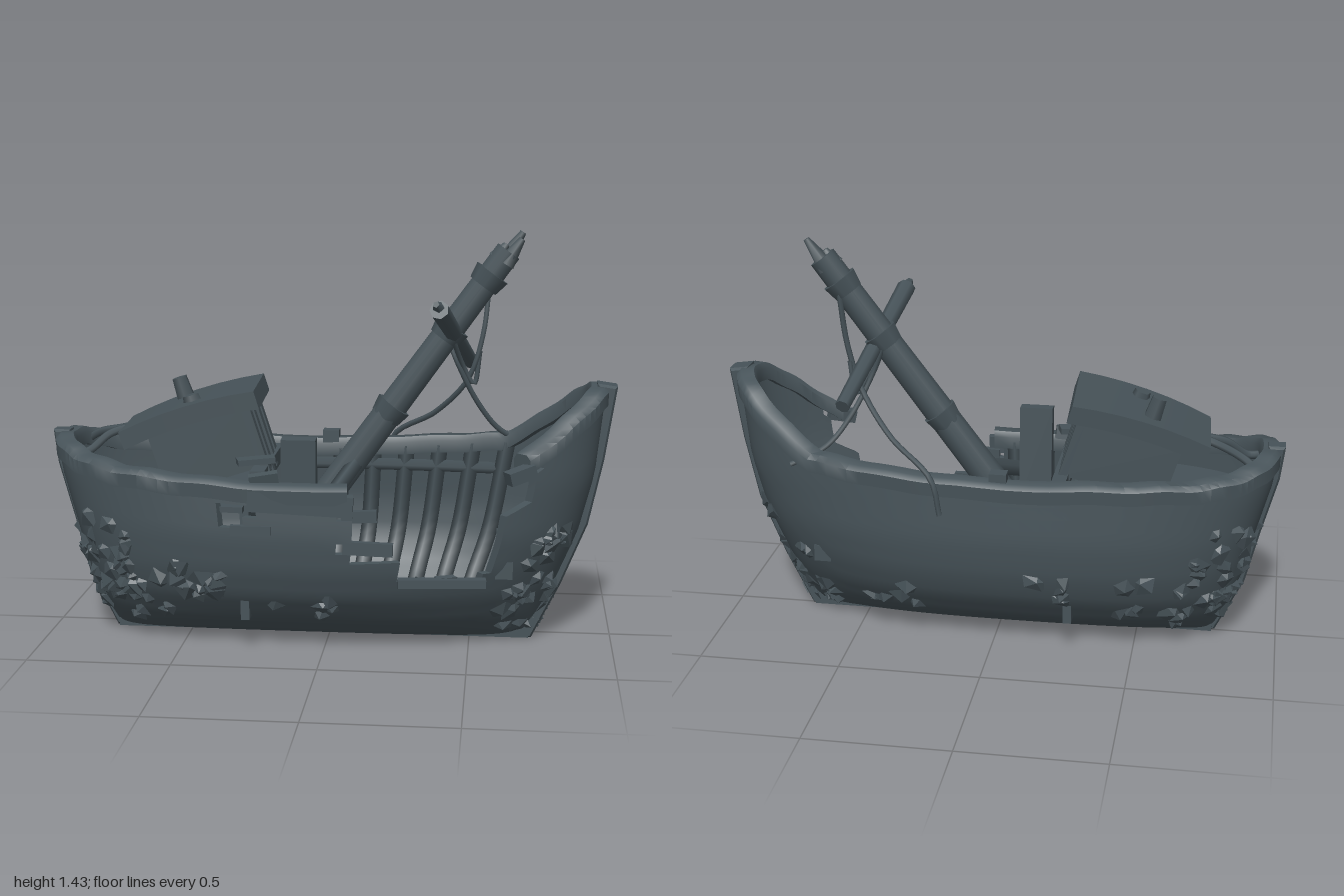
import * as THREE from 'three';
import { toCreasedNormals } from 'three/addons/utils/BufferGeometryUtils.js';

const V = (x, y, z) => new THREE.Vector3(x, y, z);
const CZ = 0.03; // hull centre line

// Linear lookup in a list of [key, value] pairs
function lookup(t, k) {
  if (k <= t[0][0]) return t[0][1];
  for (let i = 1; i < t.length; i++) {
    if (k <= t[i][0]) return THREE.MathUtils.mapLinear(k, t[i - 1][0], t[i][0], t[i - 1][1], t[i][1]);
  }
  return t[t.length - 1][1];
}
const BOW = [[0, 0.71], [0.2, 0.8], [0.4, 0.88], [0.6, 0.93], [0.92, 0.965]];
const STERN = [[0, -0.77], [0.2, -0.86], [0.4, -0.91], [0.6, -0.965], [0.75, -0.98]];
const WIDTH = [[0, 0.05], [0.02, 0.11], [0.05, 0.17], [0.1, 0.235], [0.2, 0.31], [0.3, 0.345], [0.42, 0.358], [0.6, 0.345], [0.9, 0.33]];
const SHEER = [[-1, 0.68], [-0.9, 0.64], [-0.75, 0.615], [-0.4, 0.6], [0, 0.585], [0.4, 0.61], [0.7, 0.645], [0.85, 0.75], [1, 0.88]];
const BOW_POWER = 0.82, STERN_POWER = 0.74;

// Station along the hull, -1 stern to 1 bow, for an angle around the plan
function station(a) {
  const c = Math.cos(a);
  return Math.sign(c) * Math.abs(c) ** (c > 0 ? BOW_POWER : STERN_POWER);
}
function sheer(a) {
  const s = station(a);
  return lookup(SHEER, s) - Math.sin(a) * 0.022 * (1 - s * s);
}
// Point on the hull skin at a plan angle and height, moved inward by inset
function hullPoint(a, y, inset = 0) {
  const s = station(a), b = lookup(BOW, y), e = lookup(STERN, y), sn = Math.sin(a);
  const k = s > 0 ? THREE.MathUtils.lerp(1.2, BOW_POWER, Math.min(1, y / 0.6)) : STERN_POWER;
  const x = (b + e) / 2 + s * ((b - e) / 2 - inset);
  const z = CZ + Math.sign(sn) * Math.abs(sn) ** k * (lookup(WIDTH, y) - inset);
  return V(x, y + inset * Math.max(0, 1 - y / 0.3), z);
}
// Broken openings in the front side
function isOpen(p) {
  if (p.z < CZ) return false;
  const jag = 0.015 * Math.sin(p.x * 47) + 0.01 * Math.sin(p.y * 60);
  const big = p.x > 0.09 + jag && p.x < 0.58 + (p.y - 0.35) * 0.5 + jag && p.y > (p.x < 0.26 ? 0.34 : 0.265) + jag * 0.5;
  const notch = p.x > -0.37 && p.x < -0.2 && p.y > 0.47 && p.y < 0.55;
  return big || notch;
}
function fromQuads(quads, crease) {
  const pts = [];
  for (const [a, b, c, d] of quads) pts.push(a, b, c, a, c, d);
  const g = new THREE.BufferGeometry().setFromPoints(pts);
  g.computeVertexNormals();
  return toCreasedNormals(g, crease);
}

// Hull shell with thickness, and side walls around every opening
function hullGeometry() {
  const N = 144, R = 20, T = 0.03, quads = [];
  const pt = (i, j, inset) => {
    const a = (i / N) * Math.PI * 2;
    return hullPoint(a, sheer(a) * (j / R) ** 1.5, inset);
  };
  const open = (i, j) => j >= R || (j >= 0 && isOpen(pt(i + 0.5, j + 0.5, 0)));
  for (let i = 0; i < N; i++) for (let j = 0; j < R; j++) {
    if (open(i, j)) continue;
    const o = [pt(i, j, 0), pt(i, j + 1, 0), pt(i + 1, j + 1, 0), pt(i + 1, j, 0)];
    const n = [pt(i, j, T), pt(i, j + 1, T), pt(i + 1, j + 1, T), pt(i + 1, j, T)];
    quads.push(o, [n[3], n[2], n[1], n[0]]);
    [[i - 1, j], [i, j + 1], [i + 1, j], [i, j - 1]].forEach(([p, q], e) => {
      const f = (e + 1) % 4;
      if (open(p, q)) quads.push([o[e], n[e], n[f], o[f]]);
    });
  }
  return fromQuads(quads, 0.6);
}
// Worn rail with bevelled section swept along the sheer
function railGeometry(a0, a1, n) {
  const quads = [], rings = [];
  const section = [[-0.01, -0.03], [-0.012, 0.018], [0.005, 0.035], [0.05, 0.035], [0.062, 0.015], [0.06, -0.03]];
  for (let i = 0; i <= n; i++) {
    const a = a0 + ((a1 - a0) * i) / n, y = sheer(a), wob = 0.003 * Math.sin(i * 1.1);
    rings.push(section.map(([inset, dy]) => hullPoint(a, y, inset).setY(y + dy + wob)));
  }
  for (let i = 0; i < n; i++) section.forEach((_, k) => {
    const m = (k + 1) % section.length;
    quads.push([rings[i][k], rings[i][m], rings[i + 1][m], rings[i + 1][k]]);
  });
  for (const r of [[...rings[0]].reverse(), rings[n]]) quads.push([r[0], r[1], r[2], r[3]], [r[0], r[3], r[4], r[5]]);
  return fromQuads(quads, 0.8);
}

export function createModel() {
  const group = new THREE.Group();
  const wood = new THREE.MeshStandardMaterial({ color: 0x465258, side: THREE.DoubleSide });
  wood.name = 'weathered slate wood';
  let seed = 7;
  const rand = () => (seed = (seed * 16807) % 2147483647) / 2147483647;

  const add = (name, geo, parent = group) => {
    const m = new THREE.Mesh(geo, wood);
    m.name = name;
    parent.add(m);
    return m;
  };
  const box = (name, w, h, d, x, y, z, rx = 0, ry = 0, rz = 0) => {
    const m = add(name, new THREE.BoxGeometry(w, h, d));
    m.position.set(x, y, z);
    m.rotation.set(rx, ry, rz);
  };
  // Round spar between two points
  const spar = (name, p, q, r0, r1, sides = 10) => {
    const d = q.clone().sub(p);
    const m = add(name, new THREE.CylinderGeometry(r1, r0, d.length(), sides));
    m.position.copy(p).add(q).multiplyScalar(0.5);
    m.quaternion.setFromUnitVectors(V(0, 1, 0), d.normalize());
  };
  const tube = (name, pts, r, sides = 6, segs = 24) =>
    add(name, new THREE.TubeGeometry(new THREE.CatmullRomCurve3(pts), segs, r, sides));
  // Outline in x and y, extruded across the centre line
  const profile = (name, pts, depth) => {
    const shape = new THREE.Shape(pts.map(([x, y]) => new THREE.Vector2(x, y)));
    add(name, new THREE.ExtrudeGeometry(shape, { depth, bevelSize: 0.008, bevelOffset: -0.008, bevelThickness: 0.012, bevelSegments: 1 })).position.z = CZ - depth / 2;
  };

  // Hull, rail, keel and end posts
  add('hull', hullGeometry());
  add('rail', railGeometry(1.5, Math.PI * 2 + 0.8, 110));
  box('keel', 1.48, 0.03, 0.09, -0.03, 0.015, CZ);
  profile('stemPost', [[0.66, 0], [0.72, 0], [0.82, 0.2], [0.91, 0.42], [0.96, 0.65], [1, 0.91], [0.93, 0.92], [0.91, 0.65], [0.84, 0.38]], 0.07);
  profile('sternPost', [[-0.71, 0], [-0.78, 0], [-0.88, 0.2], [-0.93, 0.4], [-0.985, 0.6], [-1, 0.72], [-0.94, 0.72], [-0.88, 0.4]], 0.05);

  // Stern deck filling the hull behind the bulkhead
  const deck = new THREE.Shape();
  for (let i = 0; i < 60; i++) {
    const p = hullPoint((i / 60) * Math.PI * 2, 0.5, 0.02);
    deck[i ? 'lineTo' : 'moveTo'](Math.min(p.x, -0.27), -p.z);
  }
  add('sternDeck', new THREE.ExtrudeGeometry(deck, { depth: 0.02, bevelEnabled: false }).rotateX(-Math.PI / 2)).position.y = 0.5;

  // Bulkhead, keelson, ribs and stringer
  box('bulkhead', 0.03, 0.42, 0.58, -0.27, 0.32, CZ);
  box('keelson', 0.95, 0.05, 0.06, 0.2, 0.06, CZ);
  box('bowBeam', 0.06, 0.06, 0.5, 0.62, 0.3, CZ);
  for (let x = -0.13; x < 0.72; x += 0.125) for (const side of [1, -1]) {
    const s = (x + 0.03) / 0.93;
    const a = side * Math.acos(Math.sign(s) * Math.abs(s) ** (1 / (s > 0 ? BOW_POWER : STERN_POWER)));
    const top = side > 0 && x > 0.08 && x < 0.66 ? 0.25 : sheer(a);
    tube('rib', [0.03, 0.1, 0.25, 0.5, 1].map((f) => hullPoint(a, f * top, 0.035)), 0.03, 4, 14);
  }
  tube('stringer', [-0.2, 0.1, 0.35, 0.6].map((x) => V(x, 0.55, -0.27 + 0.1 * x * x)), 0.022, 4);

  // Broken planks around the side opening
  box('sidePatch', 0.36, 0.07, 0.02, -0.07, 0.54, 0.377, 0, 0, -0.04);
  box('openingLedge', 0.3, 0.03, 0.035, 0.41, 0.267, 0.335, 0, 0.1, 0);
  box('brokenPlank', 0.17, 0.045, 0.025, 0.16, 0.39, 0.372, 0, 0, -0.03);
  box('brokenPlank', 0.12, 0.04, 0.025, 0.13, 0.5, 0.365, 0, 0, 0.05);
  box('brokenPlank', 0.14, 0.035, 0.025, -0.24, 0.445, 0.377);
  box('brokenPlank', 0.1, 0.05, 0.03, -0.2, 0.61, 0.33, 0.2, 0.2, 0.1);
  box('brokenPlank', 0.1, 0.045, 0.05, 0.67, 0.645, 0.31, 0, 0.5, 0.25);
  box('standingPlank', 0.12, 0.36, 0.05, -0.09, 0.56, 0.23, 0.06, 0, 0);
  spar('fallenBeam', V(-0.04, 0.46, 0.32), V(0.08, 0.6, -0.02), 0.03, 0.03, 4);
  box('sideBlock', 0.06, 0.09, 0.05, -0.03, 0.63, -0.28);

  // Stern cabin with its tilted, slightly arched roof
  const cabin = new THREE.Group();
  cabin.name = 'cabin';
  cabin.position.set(-0.48, 0.76, 0.02);
  cabin.rotation.set(0, 0.05, 0.31);
  group.add(cabin);
  const part = (name, geo, x, y, z) => add(name, geo, cabin).position.set(x, y, z);
  const roof = new THREE.BoxGeometry(0.5, 0.065, 0.4, 6, 1, 1), rp = roof.attributes.position;
  for (let i = 0; i < rp.count; i++) {
    const u = rp.getX(i) / 0.25;
    rp.setY(i, rp.getY(i) + 0.02 * (1 - u * u));
    rp.setZ(i, rp.getZ(i) * (0.91 + 0.09 * u) + 0.02 * (1 - u) / 2);
  }
  part('cabinRoof', toCreasedNormals(roof, 0.5), 0, 0.03, 0);
  for (const z of [-0.14, 0.15]) part('cabinSide', new THREE.BoxGeometry(0.36, 0.23, 0.025), 0.02, -0.09, z);
  for (const z of [-0.14, -0.05, 0.06, 0.15]) part('cabinFrontPost', new THREE.BoxGeometry(0.03, 0.27, 0.05), 0.2, -0.115, z);
  part('cabinFront', new THREE.BoxGeometry(0.02, 0.27, 0.28), 0.18, -0.11, 0);
  part('roofStump', new THREE.CylinderGeometry(0.028, 0.035, 0.1, 6), -0.03, 0.105, -0.08);
  part('roofStump', new THREE.CylinderGeometry(0.03, 0.035, 0.03, 5), 0.02, 0.088, 0.09);
  box('cabinSill', 0.05, 0.06, 0.5, -0.23, 0.6, CZ);
  box('looseBoard', 0.13, 0.02, 0.06, -0.24, 0.66, 0.24, 0, 0.3, 0.05);

  // Bent rods at the stern
  tube('sternRod', [V(-0.93, 0.64, -0.1), V(-0.86, 0.69, -0.06), V(-0.76, 0.72, 0), V(-0.68, 0.74, 0.02)], 0.015);
  tube('sternRod', [V(-0.94, 0.66, 0.1), V(-0.87, 0.65, 0.1), V(-0.79, 0.71, 0.06), V(-0.68, 0.74, 0.02)], 0.015);

  // Leaning broken mast with bands and splinters
  const m0 = V(-0.21, 0.22, -0.03), m1 = V(0.615, 1.36, -0.095);
  const along = (t) => m0.clone().lerp(m1, t);
  spar('mast', m0, m1, 0.06, 0.048);
  for (const t of [0.5, 0.75, 0.915]) spar('mastBand', along(t - 0.022), along(t + 0.018), 0.055, 0.066, 8);
  [[0.014, 0.02, 0.105], [-0.016, 0.004, 0.06], [0.006, -0.016, 0.125]].forEach(([dx, dz, len]) => {
    const b = along(0.97).add(V(dx, -dx * 0.6, dz));
    spar('mastSplinter', b, b.clone().add(V(0.55, 0.83, -0.04).multiplyScalar(len)), 0.034, 0.012, 5);
  });

  // Crossing yard
  spar('yard', V(0.385, 1.185, 0.2), V(0.485, 0.92, -0.385), 0.034, 0.026, 7);
  spar('yardSplinter', V(0.387, 1.185, 0.18), V(0.375, 1.205, 0.22), 0.026, 0.012, 5);

  // Slack ropes
  tube('rope', [V(0.55, 1.24, -0.13), V(0.53, 1.06, -0.12), V(0.48, 0.9, -0.13), V(0.36, 0.76, -0.22), V(0.2, 0.65, -0.32), V(0.17, 0.52, -0.325)], 0.01);
  tube('rope', [V(0.4, 1.06, -0.12), V(0.44, 0.96, -0.11), V(0.52, 0.8, -0.15), V(0.6, 0.7, -0.19), V(0.72, 0.64, -0.23)], 0.01);
  tube('rope', [V(0.42, 1.07, -0.03), V(0.46, 0.95, -0.11), V(0.5, 0.88, -0.13), V(0.52, 1.0, -0.13)], 0.009);

  // Barnacle clusters: [angle, height, spread in angle, spread in height, count]
  const clusters = [[0.3, 0.24, 0.4, 0.2, 38], [-0.3, 0.24, 0.4, 0.2, 36], [2.75, 0.27, 0.45, 0.2, 42], [-2.75, 0.27, 0.45, 0.2, 40],
    [1.97, 0.26, 0.12, 0.07, 12], [2.3, 0.2, 0.2, 0.1, 10], [1.62, 0.15, 0.1, 0.04, 5], [-1.9, 0.22, 0.25, 0.1, 10], [-1.2, 0.15, 0.2, 0.06, 6]];
  const shell = new THREE.ConeGeometry(0.045, 0.03, 5, 1).toNonIndexed();
  shell.computeVertexNormals();
  for (const [a, y, da, dy, n] of clusters) for (let i = 0; i < n; i++) {
    const pa = a + (rand() * 2 - 1) * da, py = y + (rand() * 2 - 1) * dy;
    const p = hullPoint(pa, py);
    const normal = hullPoint(pa + 0.02, py).sub(p).cross(hullPoint(pa, py + 0.02).sub(p)).normalize();
    if (normal.dot(V(p.x * 0.3, 0, p.z - CZ)) < 0) normal.negate();
    const m = add('barnacle', shell);
    m.position.copy(p).addScaledVector(normal, 0.006);
    m.quaternion.setFromUnitVectors(V(0, 1, 0), normal.add(V(rand() - 0.5, rand() - 0.5, rand() - 0.5).multiplyScalar(0.8)).normalize());
    m.scale.set(0.6 + 0.7 * rand(), 0.7 + 0.6 * rand(), 0.6 + 0.7 * rand());
  }
  return group;
}
